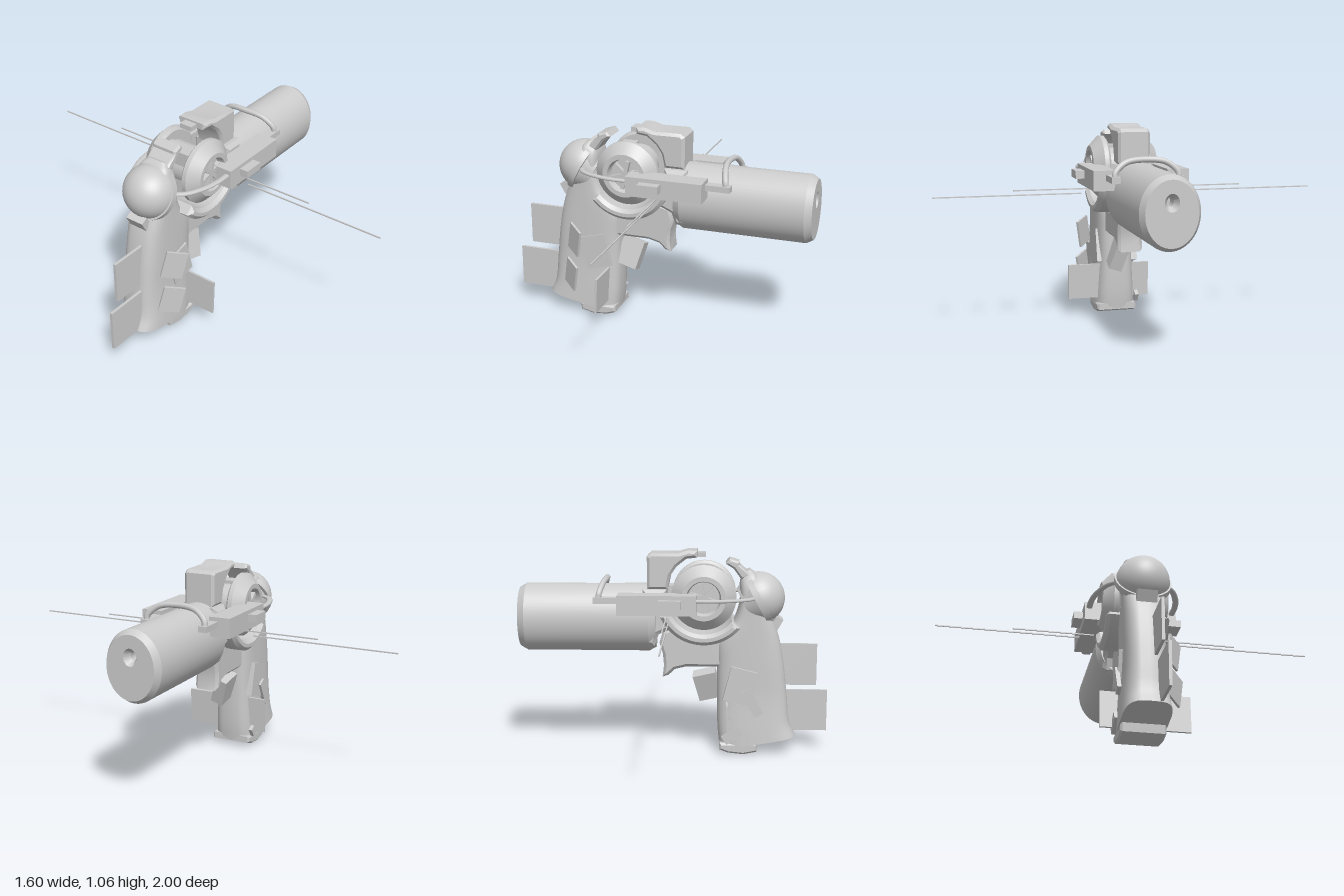
import * as THREE from 'three';
import { toCreasedNormals } from 'three/addons/utils/BufferGeometryUtils.js';

const mat = new THREE.MeshStandardMaterial({ color: 0xcccccc, side: THREE.DoubleSide });

export function createModel() {
  const model = new THREE.Group();

  const add = (name, geo, pos = [0, 0, 0], rot = [0, 0, 0]) => {
    const m = new THREE.Mesh(geo, mat);
    m.name = name;
    m.position.set(...pos);
    m.rotation.set(...rot);
    model.add(m);
    return m;
  };
  const box = (name, size, pos, rot) => add(name, new THREE.BoxGeometry(...size), pos, rot);
  const crease = (g, a = 0.6) => toCreasedNormals(g, a);
  const outline = (pts) => new THREE.Shape(pts.map((p) => new THREE.Vector2(...p)));
  // side profile extruded symmetrically across z, with a small bevel
  const slab = (shape, half, bevel) => {
    const g = new THREE.ExtrudeGeometry(shape, {
      depth: 2 * (half - bevel), bevelSize: bevel, bevelThickness: bevel, bevelOffset: -bevel,
      bevelSegments: 1, curveSegments: 32,
    });
    return crease(g.translate(0, 0, bevel - half));
  };

  // barrel: oval tube with chamfered ends and a bore above its centre
  const oval = new THREE.Shape().absellipse(0, 0, 0.125, 0.155, 0, Math.PI * 2);
  oval.holes.push(new THREE.Path().absellipse(0, 0.05, 0.035, 0.042, 0, Math.PI * 2));
  const barrel = new THREE.ExtrudeGeometry(oval, {
    depth: 0.635, bevelSize: 0.02, bevelThickness: 0.035, bevelSegments: 1, curveSegments: 28,
  });
  add('barrel', crease(barrel.rotateY(Math.PI / 2), 0.4), [0.13, 0.705, 0]);
  add('boreFloor', new THREE.CylinderGeometry(0.04, 0.04, 0.02, 24), [0.7, 0.755, 0], [0, 0, Math.PI / 2]);

  // frame between barrel and drum
  add('frame', slab(outline([[0.01, 0.66], [0.08, 0.63], [0.1, 0.57], [0.16, 0.57],
    [0.16, 0.86], [0.04, 0.86], [0.045, 0.77]]), 0.11, 0.02));

  // drum: two chamfered wheels with recessed hubs, on a core
  const wheel = [[0, 0], [0.15, 0], [0.165, 0.012], [0.165, 0.035], [0.112, 0.085], [0.088, 0.085],
    [0.08, 0.045], [0, 0.045]].map((p) => new THREE.Vector2(...p));
  for (const s of [1, -1]) {
    add('drumWheel', crease(new THREE.LatheGeometry(wheel, 40), 0.4), [-0.15, 0.825, s * 0.085], [s * Math.PI / 2, 0, 0]);
    for (let i = 0; i < 3; i++) {
      const a = i * Math.PI / 3 + 0.3;
      box('drumSpoke', [0.15, 0.02, 0.03], [-0.15, 0.825, s * 0.14], [0, 0, a]);
    }
  }
  add('drumCore', new THREE.CylinderGeometry(0.1, 0.1, 0.18, 24), [-0.15, 0.825, 0], [Math.PI / 2, 0, 0]);
  box('drumBlock', [0.08, 0.24, 0.17], [-0.2, 0.82, 0]);

  // crescent cradle under the drum
  const crescent = new THREE.Shape();
  crescent.absarc(-0.15, 0.825, 0.24, Math.PI * 1.22, Math.PI * 1.87, false);
  crescent.absarc(-0.15, 0.825, 0.185, Math.PI * 1.87, Math.PI * 1.22, true);
  add('cradle', slab(crescent, 0.16, 0.018));

  // trigger guard below the frame
  add('triggerGuard', slab(outline([[-0.26, 0.455], [-0.06, 0.455], [0, 0.44], [0.03, 0.41], [0.062, 0.4],
    [0.055, 0.46], [0.06, 0.52], [0.078, 0.58], [0.06, 0.64], [0.0, 0.66], [-0.08, 0.61], [-0.17, 0.59], [-0.26, 0.62]]), 0.065, 0.015));

  // grip: rounded sections, each from a back point to a front point
  const rings = [ // backX, backY, frontX, frontY, halfWidth
    [-0.63, 0.09, -0.235, 0.025, 0.115], [-0.6, 0.16, -0.225, 0.12, 0.11], [-0.585, 0.3, -0.22, 0.3, 0.1],
    [-0.565, 0.47, -0.22, 0.47, 0.1], [-0.535, 0.62, -0.225, 0.6, 0.1], [-0.49, 0.74, -0.3, 0.69, 0.1],
    [-0.455, 0.84, -0.333, 0.79, 0.1], [-0.42, 0.93, -0.333, 0.89, 0.085], [-0.385, 0.96, -0.35, 0.945, 0.05]];
  const curve = (f) => new THREE.CatmullRomCurve3(rings.map((r) => new THREE.Vector3(...f(r))));
  const backLine = curve((r) => [r[0], r[1], r[4]]);
  const frontLine = curve((r) => [r[2], r[3], r[4]]);
  const N = 32, M = 32, verts = [], faces = [];
  const rounded = (v) => Math.sign(v) * Math.abs(v) ** 0.55;
  for (let i = 0; i <= M; i++) {
    const b = backLine.getPoint(i / M), f = frontLine.getPoint(i / M);
    for (let j = 0; j < N; j++) {
      const a = (j / N) * Math.PI * 2, t = 0.5 + 0.5 * rounded(Math.cos(a));
      verts.push(b.x + (f.x - b.x) * t, b.y + (f.y - b.y) * t, b.z * rounded(Math.sin(a)));
      const k = i * N + j, n = i * N + (j + 1) % N;
      if (i < M) faces.push(k, k + N, n, n, k + N, n + N);
    }
  }
  for (let j = 1; j < N - 1; j++) faces.push(0, j, j + 1, M * N, M * N + j + 1, M * N + j);
  const grip = new THREE.BufferGeometry();
  grip.setAttribute('position', new THREE.Float32BufferAttribute(verts, 3));
  grip.setIndex(faces);
  add('grip', crease(grip, 0.8));
  add('gripFoot', slab(outline([[-0.435, 0.06], [-0.43, 0.015], [-0.36, 0], [-0.28, 0.008], [-0.235, 0.025], [-0.235, 0.06]]), 0.11, 0.01));

  // domed rear cap with its collar, leaning back
  const lean = [0, 0, 1.08];
  add('rearDome', new THREE.SphereGeometry(0.135, 32, 14, 0, Math.PI * 2, 0, Math.PI / 2), [-0.43, 0.81, 0], lean);
  add('rearCollar', crease(new THREE.CylinderGeometry(0.142, 0.142, 0.03, 40)), [-0.43, 0.808, 0], lean);
  add('rearSocket', crease(new THREE.CylinderGeometry(0.13, 0.1, 0.07, 40)), [-0.395, 0.785, 0], lean);
  box('collarTab', [0.04, 0.06, 0.1], [-0.525, 0.685, 0], [0, 0, 0.5]);

  // hammer
  add('hammer', slab(outline([[-0.39, 0.93], [-0.33, 0.985], [-0.33, 1.0], [-0.28, 1.015], [-0.26, 0.99],
    [-0.3, 0.965], [-0.34, 0.91]]), 0.07, 0.01));

  // top block hugging the drum, with rear sight
  add('topBlock', slab(outline([[0.035, 0.86], [0.14, 0.86], [0.14, 1.025], [0.12, 1.042], [-0.02, 1.042],
    [-0.07, 1.057], [-0.115, 1.055], [-0.115, 1.022], [-0.06, 1.015], [-0.01, 0.975], [0.02, 0.93]]), 0.083, 0.014));
  box('rearSight', [0.06, 0.024, 0.07], [-0.128, 1.033, 0]);

  // side rails, mirrored, with bands, front bars and thin antennas
  for (const s of [1, -1]) {
    box('sideRail', [0.395, 0.1, 0.11], [0.083, 0.8, s * 0.187]);
    box('railKnob', [0.11, 0.04, 0.05], [0.017, 0.81, s * 0.263]);
    box('frontBar', [0.14, 0.03, 0.045], [0.335, 0.815, s * 0.158]);
    const path = new THREE.CatmullRomCurve3([[-0.42, 0.08], [-0.37, 0.155], [-0.28, 0.2], [-0.19, 0.218], [-0.1, 0.218]]
      .map(([x, z]) => new THREE.Vector3(x, 0, s * z)));
    const band = new THREE.TubeGeometry(path, 32, 0.016, 8);
    add('railBand', band.scale(1, 0.55, 1), [0, 0.82, 0]);
    box('longAntenna', [0.006, 0.006, 0.75], [0.025, 0.71, s * 0.625]);
    box('shortAntenna', [0.006, 0.006, 0.43], [0.035, 0.735, s * 0.385]);
  }

  // hoop over the barrel
  const hoop = new THREE.CatmullRomCurve3([[0.38, 0.82, 0.16], [0.375, 0.85, 0.155], [0.36, 0.895, 0.1], [0.35, 0.907, 0],
    [0.36, 0.895, -0.1], [0.375, 0.85, -0.155], [0.38, 0.82, -0.16]].map((p) => new THREE.Vector3(...p)));
  add('barrelHoop', new THREE.TubeGeometry(hoop, 40, 0.015, 10));

  // flat plates stuck in and around the grip
  box('upperBackFin', [0.22, 0.22, 0.015], [-0.63, 0.455, 0.03]);
  box('lowerBackFin', [0.24, 0.22, 0.015], [-0.68, 0.205, 0.045]);
  box('frontFin', [0.12, 0.15, 0.07], [-0.17, 0.35, 0.01], [-0.3, 0, -0.25]);
  box('crossPlate', [0.012, 0.19, 0.45], [-0.277, 0.183, 0.04], [0, 0, -0.05]);
  box('upperSidePanel', [0.11, 0.15, 0.012], [-0.44, 0.435, 0.145], [0, -0.7, -0.25]);
  box('lowerSidePanel', [0.11, 0.15, 0.012], [-0.465, 0.235, 0.145], [0, -0.7, -0.25]);
  box('wideSidePanel', [0.14, 0.18, 0.225], [-0.34, 0.365, -0.005], [0, 0, 0.25]);
  box('smallSidePanel', [0.05, 0.1, 0.02], [-0.3, 0.105, -0.115], [0, 0, 1.0]);
  box('diagonalPanel', [0.05, 0.15, 0.02], [-0.4, 0.28, -0.12], [0, 0, -0.5]);
  return model;
}
